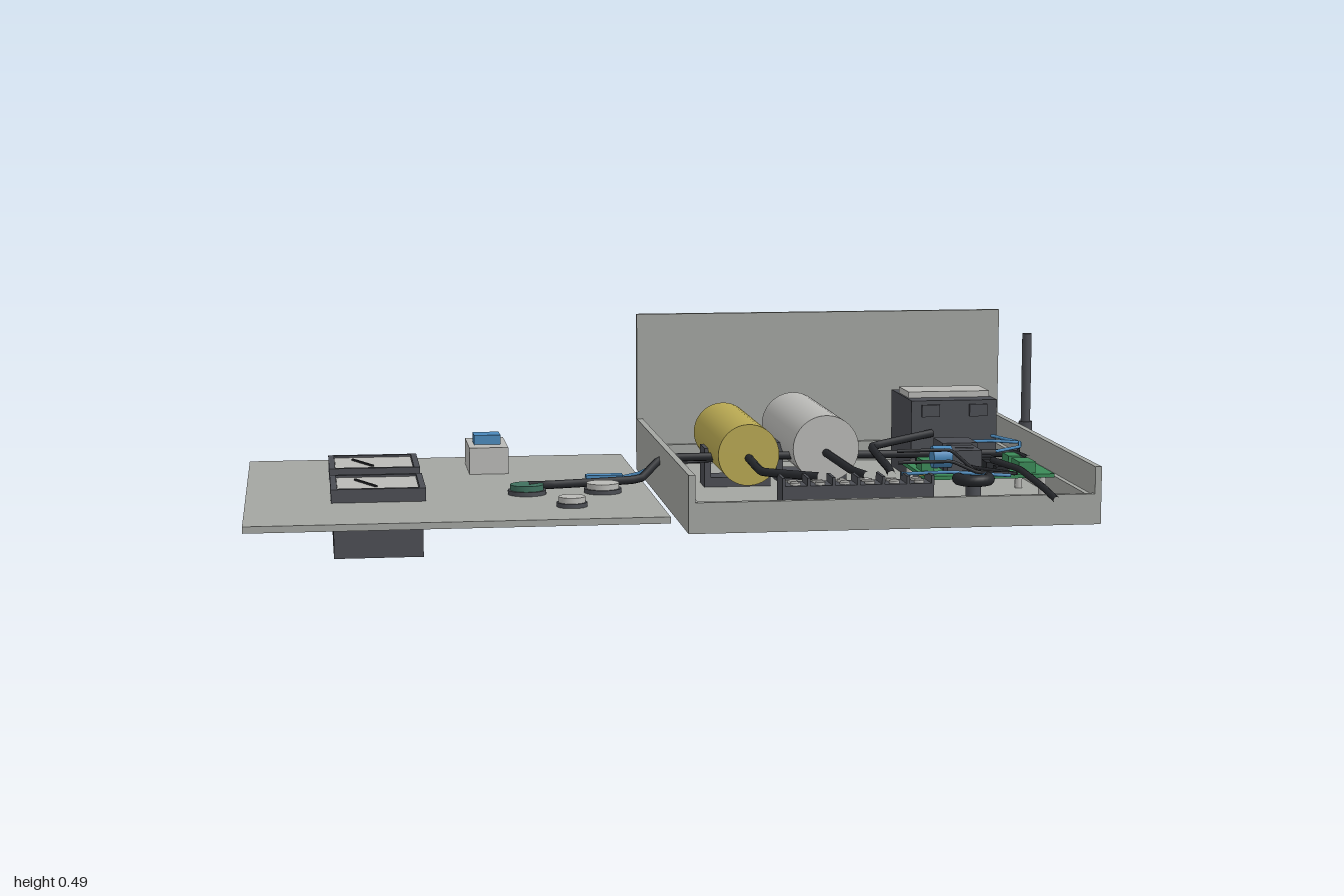
import * as THREE from 'three';

const mat = (name, color) => Object.assign(new THREE.MeshStandardMaterial({ color }), { name });

export function createModel() {
  const root = new THREE.Group();
  root.name = 'openedInstrumentCase';
  const grey = mat('case grey', 0xa3a5a1);
  const light = mat('light grey', 0xb9b9b6);
  const dark = mat('dark grey', 0x4b4d53);
  const black = mat('cable black', 0x26282c);
  const gold = mat('gold', 0xb8a852);
  const blue = mat('blue', 0x4a88ba);
  const green = mat('board green', 0x3b8a58);
  const deepGreen = mat('deep green', 0x3f705e);

  const add = (name, geo, m, parent = root) => {
    const mesh = new THREE.Mesh(geo, m);
    mesh.name = name;
    parent.add(mesh);
    return mesh;
  };
  // Box given by its limits on each axis
  const box = (name, m, x0, x1, y0, y1, z0, z1, parent) => {
    const b = add(name, new THREE.BoxGeometry(x1 - x0, y1 - y0, z1 - z0), m, parent);
    b.position.set((x0 + x1) / 2, (y0 + y1) / 2, (z0 + z1) / 2);
    return b;
  };
  // Upright cylinder from y0 to y1
  const post = (name, m, x, z, r, y0, y1, parent, sides = 28) => {
    const c = add(name, new THREE.CylinderGeometry(r, r, y1 - y0, sides), m, parent);
    c.position.set(x, (y0 + y1) / 2, z);
    return c;
  };
  // Wire through points with straight runs and tight bends
  const wire = (name, m, r, pts, parent) => {
    const path = new THREE.CatmullRomCurve3(pts.map(p => new THREE.Vector3(...p)), false, 'catmullrom', 0.1);
    return add(name, new THREE.TubeGeometry(path, pts.length * 8, r, 8), m, parent);
  };
  const group = name => {
    const g = new THREE.Group();
    g.name = name;
    root.add(g);
    return g;
  };

  // Case tray: floor, low front wall, side walls and tall back wall
  const tray = group('caseTray');
  box('floor', grey, -0.02, 0.925, 0.09, 0.105, -0.49, 0.44, tray);
  box('backWall', grey, -0.02, 0.925, 0.09, 0.49, -0.505, -0.49, tray);
  box('frontWall', grey, -0.005, 0.91, 0.105, 0.16, 0.425, 0.44, tray);
  for (const x of [-0.02, 0.91]) box('sideWall', grey, x, x + 0.015, 0.105, 0.222, -0.49, 0.44, tray);
  for (const x of [-0.005, 0.898]) box('innerRib', grey, x, x + 0.012, 0.105, 0.155, -0.478, 0.413, tray);
  for (const z of [-0.49, 0.413]) box('innerRib', grey, -0.005, 0.91, 0.105, 0.155, z, z + 0.012, tray);

  // Lid lying open beside the tray
  box('lidPanel', grey, -1, -0.06, 0.115, 0.13, -0.505, 0.44);

  // Two panel meters with bodies under the lid
  for (const z of [-0.265, 0.047]) {
    const g = group('panelMeter');
    box('meterBody', dark, -0.8, -0.595, 0, 0.115, z - 0.108, z + 0.108, g);
    box('bezelBase', dark, -0.805, -0.588, 0.13, 0.15, z - 0.11, z + 0.11, g);
    for (const s of [-1, 1]) {
      const x = -0.6965 + s * 0.1015, zz = z + s * 0.103;
      box('bezelSide', dark, x - 0.007, x + 0.007, 0.15, 0.161, z - 0.11, z + 0.11, g);
      box('bezelEnd', dark, -0.791, -0.602, 0.15, 0.161, zz - 0.007, zz + 0.007, g);
    }
    box('meterFace', light, -0.79, -0.603, 0.15, 0.156, z - 0.096, z + 0.096, g);
    const needle = box('meterNeedle', black, -0.726, -0.72, 0.156, 0.16, z - 0.058, z + 0.058, g);
    needle.rotation.y = 0.42;
  }

  // Rocker switch
  const sw = group('rockerSwitch');
  box('switchHousing', light, -0.465, -0.37, 0.13, 0.195, -0.395, -0.22, sw);
  box('switchButton', blue, -0.45, -0.385, 0.195, 0.218, -0.335, -0.275, sw);

  // Small indicator through the lid
  box('indicatorTop', blue, -0.19, -0.1, 0.13, 0.137, -0.149, -0.118);
  box('indicatorBoard', deepGreen, -0.2, -0.09, 0.106, 0.115, -0.152, -0.115);

  // Round sockets
  for (const [x, z, r, m] of [[-0.35, 0.085, 0.045, deepGreen], [-0.172, 0.085, 0.044, light], [-0.263, 0.27, 0.035, light]]) {
    const g = group('roundSocket');
    post('socketRing', dark, x, z, r, 0.13, 0.14, g);
    post('socketCap', m, x, z, r * 0.87, 0.14, 0.153, g);
  }

  // Two large capacitors lying in clamps
  const capacitor = (m, x, y, r, z0, z1, clampZ) => {
    const g = group('capacitor');
    const c = add('capacitorBody', new THREE.CylinderGeometry(r, r, z1 - z0, 40), m, g);
    c.rotation.x = Math.PI / 2;
    c.position.set(x, y, (z0 + z1) / 2);
    for (const s of [-1, 1]) {
      const cx = x + s * r;
      box('clampArm', dark, cx - 0.008, cx + 0.008, 0.105, 0.2, clampZ - 0.037, clampZ + 0.037, g);
    }
    box('clampBase', dark, x - r, x + r, 0.105, 0.128, clampZ - 0.037, clampZ + 0.037, g);
  };
  capacitor(gold, 0.178, 0.207, 0.073, -0.34, 0.062, -0.14);
  capacitor(light, 0.375, 0.21, 0.08, -0.44, 0.005, -0.215);

  // Transformer
  const tr = group('transformer');
  box('coil', dark, 0.62, 0.835, 0.105, 0.3, -0.383, -0.155, tr);
  box('coreStrap', light, 0.625, 0.83, 0.3, 0.315, -0.32, -0.213, tr);
  for (const z of [-0.388, -0.156]) for (const x of [0.645, 0.765])
    box('coilLug', dark, x, x + 0.045, 0.26, 0.29, z, z + 0.008, tr);

  // Terminal block with barriers and screws
  const tb = group('terminalBlock');
  box('blockBase', dark, 0.205, 0.555, 0.105, 0.18, 0.295, 0.365, tb);
  for (let i = 0; i <= 6; i++) {
    const x = 0.205 + i * 0.0573;
    box('barrier', dark, x, x + 0.007, 0.18, 0.198, 0.295, 0.365, tb);
    if (i < 6) for (const z of [0.314, 0.347]) post('screw', light, x + 0.032, z, 0.012, 0.18, 0.186, tb, 12);
  }

  // Ferrite ring
  const ring = add('ferriteRing', new THREE.TorusGeometry(0.035, 0.014, 12, 28), black);
  ring.rotation.x = Math.PI / 2;
  ring.position.set(0.652, 0.185, 0.342);
  post('ringHolder', dark, 0.652, 0.342, 0.018, 0.105, 0.178);

  // Circuit board with its components
  const pcb = group('circuitBoard');
  box('board', green, 0.565, 0.875, 0.165, 0.174, -0.01, 0.23, pcb);
  for (const x of [0.58, 0.85]) for (const z of [0.005, 0.213]) post('standoff', light, x, z, 0.009, 0.105, 0.165, pcb, 10);
  box('relay', dark, 0.64, 0.725, 0.174, 0.23, -0.005, 0.09, pcb);
  for (const z of [0.102, 0.15]) box('module', dark, 0.628, 0.71, 0.174, 0.227, z, z + 0.042, pcb);
  for (const [x, z, w, d] of [[0.74, 0.02, 0.035, 0.04], [0.735, 0.09, 0.045, 0.05], [0.585, 0.04, 0.035, 0.05], [0.74, 0.18, 0.03, 0.03], [0.83, 0.01, 0.02, 0.1]])
    box('chip', black, x, x + w, 0.174, 0.19, z, z + d, pcb);
  for (const [x, z, w, d] of [[0.795, 0.055, 0.03, 0.06], [0.795, 0.14, 0.04, 0.07], [0.575, 0.1, 0.03, 0.05]])
    box('connector', green, x, x + w, 0.174, 0.2, z, z + d, pcb);
  for (let i = 0; i < 9; i++) {
    const x = 0.58 + ((i * 7) % 9) * 0.032, z = 0.005 + i * 0.025;
    box('smallPart', light, x, x + 0.012, 0.174, 0.181, z, z + 0.008, pcb);
  }
  const disc = add('blueCapacitor', new THREE.CylinderGeometry(0.026, 0.026, 0.045, 24), blue, pcb);
  disc.rotation.z = Math.PI / 2;
  disc.position.set(0.612, 0.214, 0.192);

  // Antenna outside the right-hand side of the tray
  const ant = group('antenna');
  post('antennaRod', dark, 0.98, -0.415, 0.012, 0.2, 0.435, ant, 16);
  post('antennaCollar', dark, 0.98, -0.415, 0.017, 0.175, 0.208, ant, 16);
  wire('antennaLead', black, 0.003, [[0.98, 0.183, -0.415], [0.925, 0.179, -0.25], [0.88, 0.18, -0.11], [0.84, 0.18, 0.05]], ant);

  // Heavy black cables
  wire('lidCable', black, 0.01, [[-0.35, 0.15, 0.085], [-0.3, 0.145, 0.055], [-0.075, 0.145, 0], [-0.01, 0.185, -0.065], [0.3, 0.185, -0.065], [0.84, 0.18, -0.065], [0.852, 0.185, 0.08]]);
  wire('goldCapacitorLead', black, 0.01, [[0.178, 0.2, 0.055], [0.185, 0.19, 0.21], [0.3, 0.192, 0.31]]);
  wire('greyCapacitorLead', black, 0.01, [[0.375, 0.2, 0], [0.395, 0.19, 0.21], [0.412, 0.192, 0.31]]);
  wire('transformerLead', black, 0.01, [[0.67, 0.22, -0.15], [0.505, 0.2, -0.08], [0.487, 0.19, 0.19], [0.468, 0.192, 0.31]]);
  wire('outgoingCable', black, 0.008, [[0.74, 0.2, 0.17], [0.785, 0.19, 0.25], [0.803, 0.17, 0.38], [0.804, 0.158, 0.5]]);

  // Thin signal wires
  wire('thinLidWire', black, 0.003, [[-0.02, 0.165, -0.1], [0.4, 0.18, -0.1], [0.8, 0.18, -0.1], [0.88, 0.18, -0.108]]);
  wire('indicatorWire', blue, 0.004, [[-0.1, 0.13, -0.133], [-0.06, 0.14, -0.125], [-0.02, 0.165, -0.1]]);
  wire('blueWire', blue, 0.004, [[0.72, 0.22, 0], [0.8, 0.21, -0.07], [0.88, 0.2, -0.105], [0.82, 0.21, -0.16]]);
  wire('blueWire', blue, 0.004, [[0.88, 0.2, -0.1], [0.86, 0.2, -0.03], [0.78, 0.2, 0.04]]);
  wire('blueWire', blue, 0.004, [[0.49, 0.195, 0.315], [0.6, 0.2, 0.335], [0.74, 0.19, 0.34]]);
  for (const [y, z] of [[0.25, 0.33], [0.226, 0.345]])
    wire('ringLead', black, 0.004, [[0.475, y, z], [0.6, y, z], [0.66, 0.2, z], [0.77, 0.185, 0.285], [0.68, 0.19, 0.2]]);
  wire('goldWire', gold, 0.003, [[0.53, 0.19, 0.31], [0.575, 0.19, 0.28], [0.58, 0.18, 0.22]]);

  return root;
}
